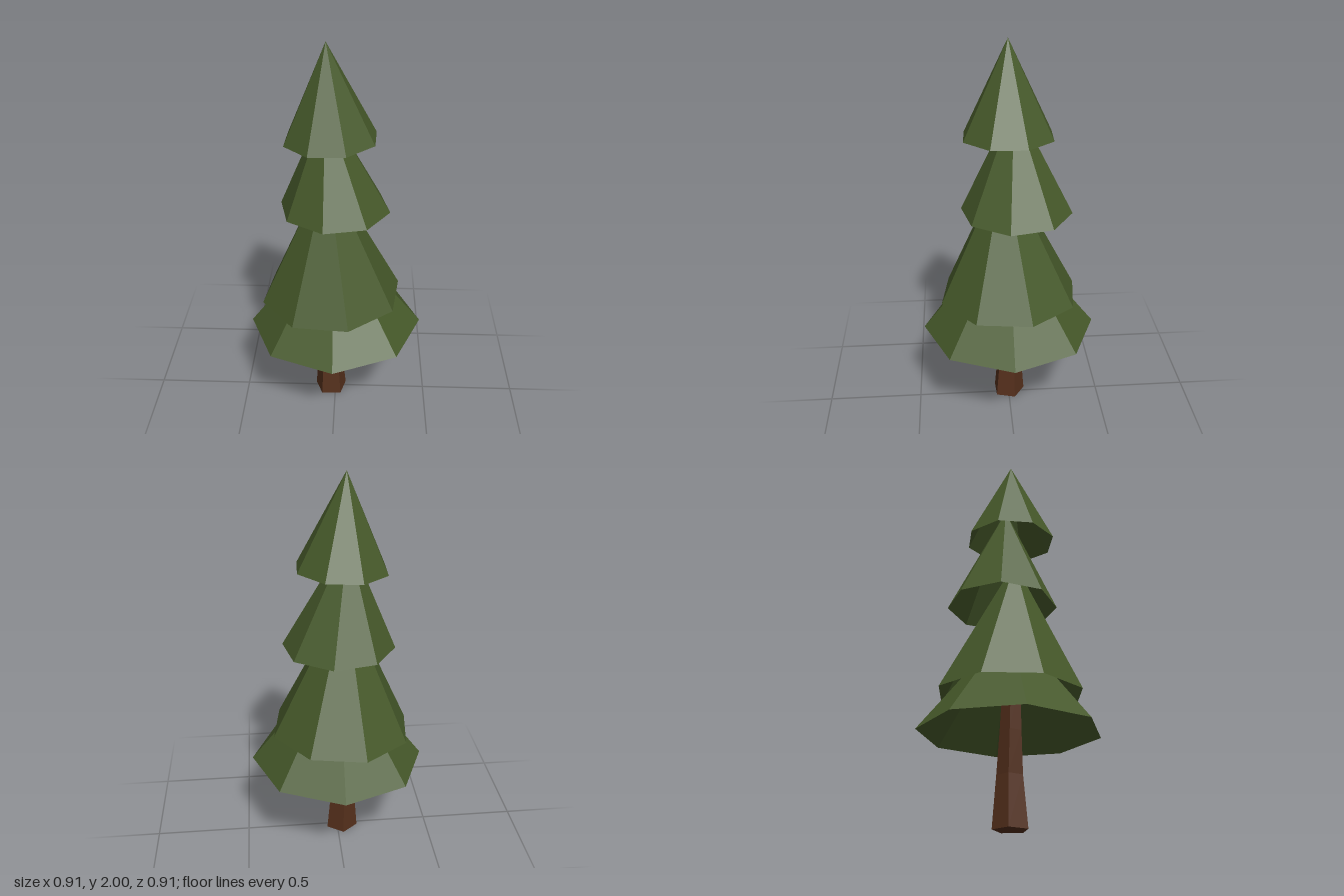
import * as THREE from 'three';

const green = new THREE.MeshStandardMaterial({ color: 0x46592a, flatShading: true, side: THREE.DoubleSide });
const brown = new THREE.MeshStandardMaterial({ color: 0x55301c, flatShading: true });

// Points of a regular polygon ring; tilt raises the +x side
function ring({ x, y, z, r, turn, tilt = 0 }, sides) {
  return Array.from({ length: sides }, (_, i) => {
    const a = THREE.MathUtils.degToRad(turn) + (i / sides) * Math.PI * 2;
    const dx = r * Math.cos(a);
    return [x + dx, y + tilt * dx, z + r * Math.sin(a)];
  });
}

function meshFrom(triangles, material, name) {
  const geometry = new THREE.BufferGeometry();
  geometry.setAttribute('position', new THREE.Float32BufferAttribute(triangles.flat(2), 3));
  geometry.computeVertexNormals();
  const mesh = new THREE.Mesh(geometry, material);
  mesh.name = name;
  return mesh;
}

// Fan of triangles from a ring up to one point
function fan(points, tip) {
  return points.map((p, i) => [points[(i + 1) % points.length], p, tip]);
}

export function createModel() {
  const tree = new THREE.Group();
  tree.name = 'pineTree';

  // Bent, tapering five-sided trunk
  const rings = [
    { x: -0.025, y: 0, z: 0, r: 0.088, turn: -21 },
    { x: -0.028, y: 0.25, z: -0.003, r: 0.066, turn: -21 },
    { x: -0.048, y: 0.46, z: -0.002, r: 0.055, turn: -21 },
    { x: -0.065, y: 0.72, z: 0, r: 0.045, turn: -21 },
  ].map((s) => ring(s, 5));
  const trunk = [];
  for (let k = 0; k < rings.length - 1; k++) {
    const low = rings[k], high = rings[k + 1];
    low.forEach((p, i) => {
      const j = (i + 1) % low.length;
      trunk.push([low[j], p, high[i]], [low[j], high[i], high[j]]);
    });
  }
  trunk.push(...fan([...rings[0]].reverse(), [-0.025, 0, 0])); // base
  trunk.push(...fan(rings[3], [-0.065, 0.72, 0])); // top
  tree.add(meshFrom(trunk, brown, 'trunk'));

  // Four hollow, slightly skewed eight-sided foliage cones
  const tiers = [
    { x: 0, y: 0.465, z: 0, r: 0.455, turn: 0, tilt: 0.022, tip: [-0.01, 1.04, 0] },
    { x: -0.021, y: 0.648, z: -0.002, r: 0.37, turn: -15, tilt: 0.035, tip: [-0.042, 1.39, 0.02] },
    { x: -0.004, y: 1.14, z: -0.04, r: 0.283, turn: 10, tip: [-0.05, 1.7, -0.03] },
    { x: -0.024, y: 1.53, z: 0, r: 0.235, turn: -20, tilt: 0.04, tip: [-0.045, 2, 0] },
  ];
  tiers.forEach((t, i) => tree.add(meshFrom(fan(ring(t, 8), t.tip), green, `foliageTier${i + 1}`)));

  return tree;
}
